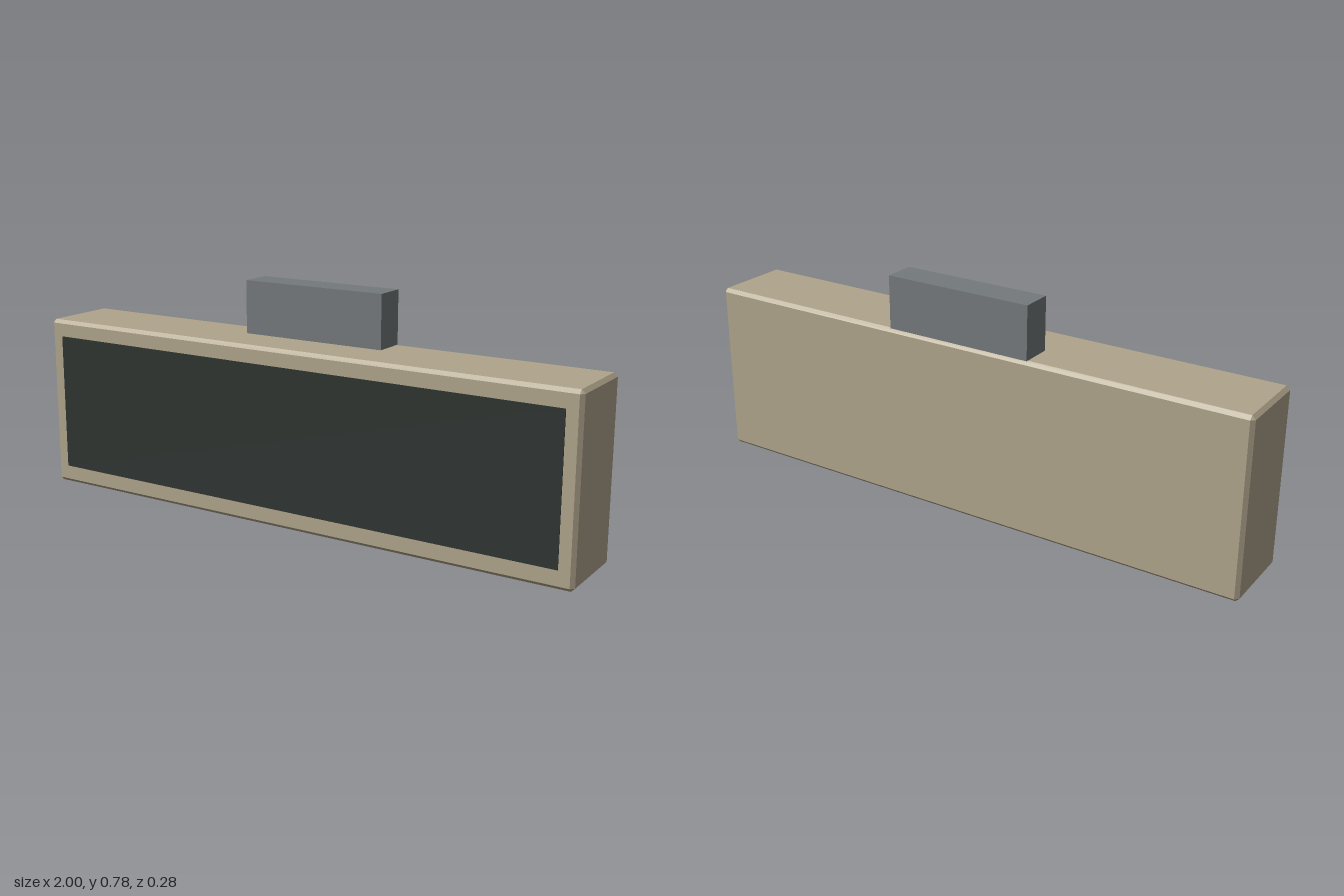
import * as THREE from 'three';
import { ConvexGeometry } from 'three/addons/geometries/ConvexGeometry.js';

// Box centred on the origin with every edge chamfered by c
function chamferedBox(w, h, d, c) {
  const points = [];
  for (const sx of [-1, 1]) for (const sy of [-1, 1]) for (const sz of [-1, 1]) {
    const x = w / 2, y = h / 2, z = d / 2;
    points.push(
      new THREE.Vector3(sx * x, sy * (y - c), sz * (z - c)),
      new THREE.Vector3(sx * (x - c), sy * y, sz * (z - c)),
      new THREE.Vector3(sx * (x - c), sy * (y - c), sz * z),
    );
  }
  return new ConvexGeometry(points);
}

export function createModel() {
  const group = new THREE.Group();
  const add = (name, geometry, color, x, y, z) => {
    const material = new THREE.MeshStandardMaterial({ color, flatShading: true });
    const mesh = new THREE.Mesh(geometry, material);
    mesh.name = name;
    mesh.position.set(x, y, z);
    group.add(mesh);
  };

  // Housing with narrow chamfers
  add('housing', chamferedBox(2, 0.6, 0.278, 0.012), 0xb0a58c, 0, 0.3, -0.001);

  // Dark display set almost flush in the front
  add('displayPanel', new THREE.BoxGeometry(1.9, 0.48, 0.01), 0x2f3431, 0, 0.302, 0.135);

  // Mounting block on top, towards the back
  add('mountingBlock', new THREE.BoxGeometry(0.52, 0.18, 0.108), 0x74797c, 0, 0.69, -0.081);

  return group;
}
